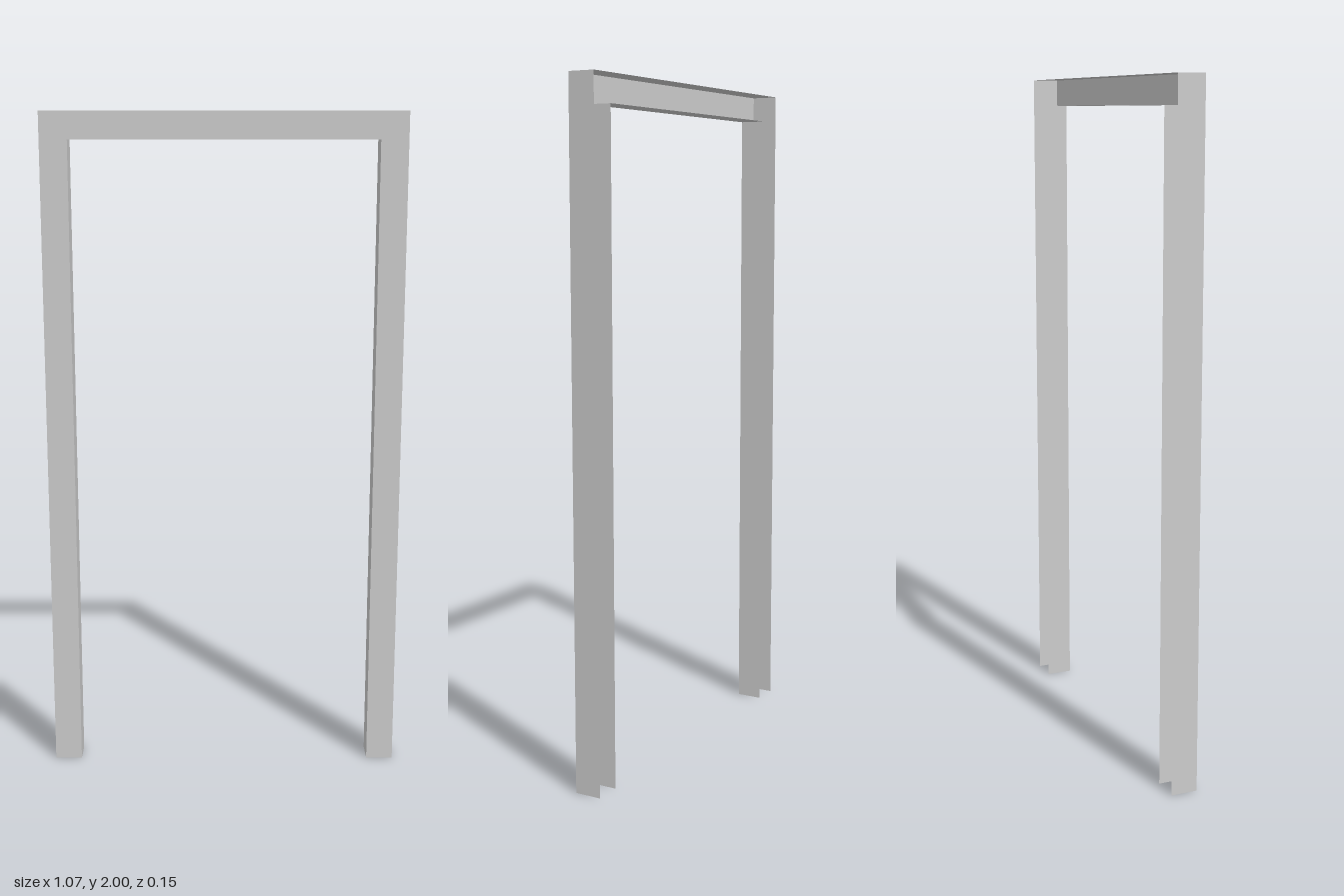
import * as THREE from 'three';

const DEPTH = 0.08, HEIGHT = 2, HALF = 0.532, FACE = 0.081;

export function createModel() {
  const model = new THREE.Group();
  model.name = 'doorFrame';
  const material = new THREE.MeshStandardMaterial({ color: 0xcccccc, side: THREE.DoubleSide });

  const add = (name, geometry, parent) => {
    const mesh = new THREE.Mesh(geometry, material);
    mesh.name = name;
    parent.add(mesh);
    return mesh;
  };

  // The frame stands slightly turned about the vertical axis
  const frame = new THREE.Group();
  frame.name = 'channelFrame';
  frame.rotation.y = -0.065;
  model.add(frame);

  const inner = HALF - FACE, innerTop = HEIGHT - FACE;

  // Flat front face: two legs joined by a header
  const outline = [
    [-HALF, 0], [-inner, 0], [-inner, innerTop], [inner, innerTop],
    [inner, 0], [HALF, 0], [HALF, HEIGHT], [-HALF, HEIGHT],
  ].map(([x, y]) => new THREE.Vector2(x, y));
  add('frontFace', new THREE.ShapeGeometry(new THREE.Shape(outline)), frame)
    .position.z = DEPTH / 2;

  // Thin returns running back from the outer and inner edges; back and feet stay open
  for (const [label, half, top] of [['outer', HALF, HEIGHT], ['inner', inner, innerTop]]) {
    for (const [side, s] of [['Left', 1], ['Right', -1]]) {
      const wall = add(`${label}${side}Return`, new THREE.PlaneGeometry(DEPTH, top), frame);
      wall.rotation.y = s * Math.PI / 2 * (label === 'outer' ? 1 : -1);
      wall.position.set(s * half, top / 2, 0);
    }
    const header = add(`${label}HeaderReturn`, new THREE.PlaneGeometry(2 * half, DEPTH), frame);
    header.rotation.x = Math.PI / 2 * (label === 'outer' ? -1 : 1);
    header.position.y = top;
  }

  return model;
}
